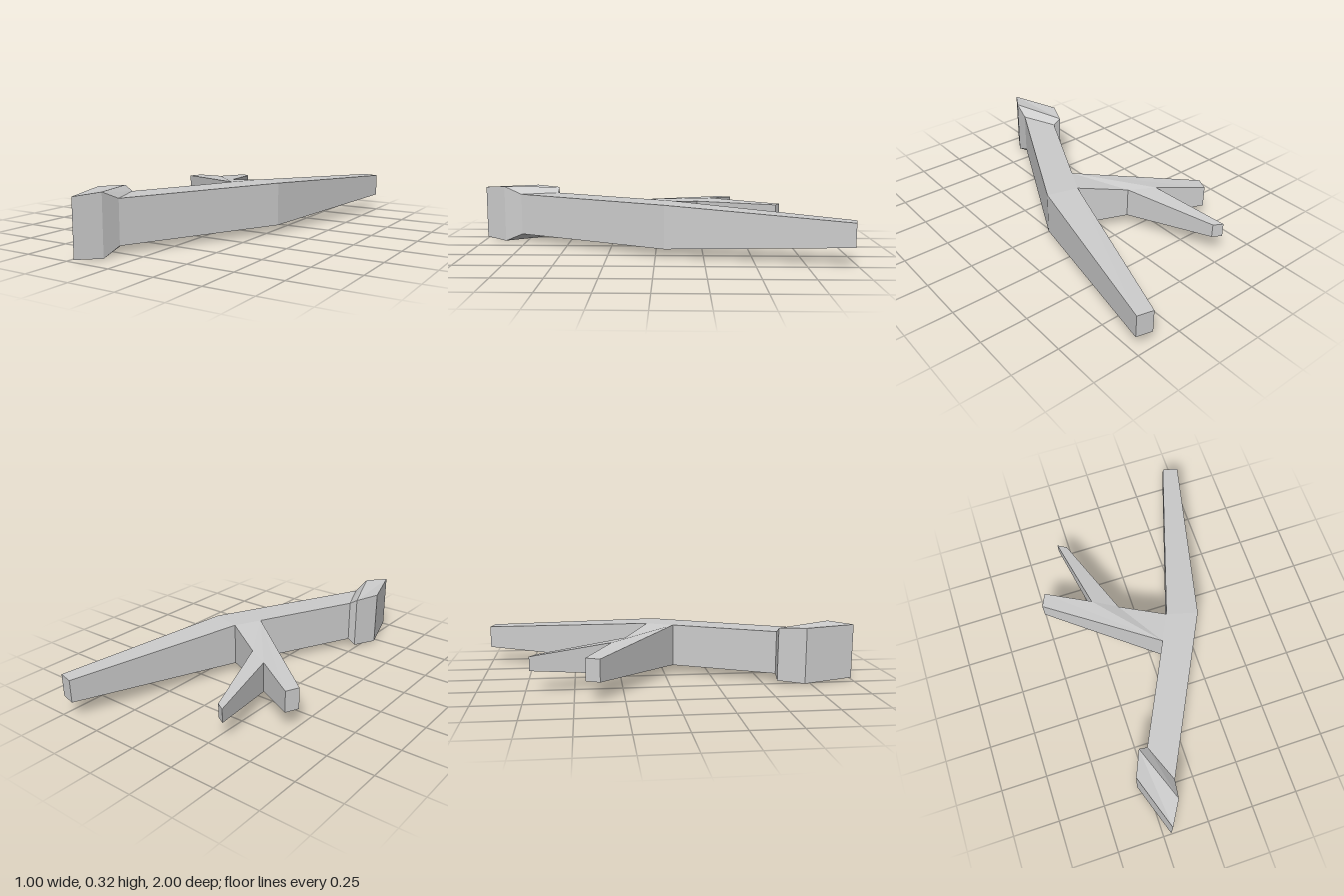
import * as THREE from 'three';

const MID_Y = 0.158;

// Plan corners: x, z and half height about the middle plane
const P = {
  shaftLeft: [-0.2, 0.575, 0.115], shaftRight: [-0.12, 0.775, 0.115],
  elbow: [0.295, -0.045, 0.115], crotch: [0.13, -0.09, 0.115], armpit: [0.06, 0.05, 0.115],
  tipRight: [0.502, -0.98, 0.061], tipLeft: [0.418, -1.0, 0.061],
  branchBend: [-0.103, -0.228, 0.081], fork: [-0.235, -0.305, 0.083],
  twigARight: [-0.27, -0.695, 0.037], twigALeft: [-0.318, -0.723, 0.037],
  twigBTop: [-0.47, -0.442, 0.058], twigBEnd: [-0.503, -0.372, 0.058],
  ridgeBack: [-0.245, 0.575, 0.143], ridgeFront: [-0.135, 0.875, 0.158],
  headLeft: [-0.303, 0.71, 0.149], headPoint: [-0.207, 0.997, 0.147],
};

// Each part is a slab whose outline runs anticlockwise from above
const PARTS = {
  shaft: ['shaftLeft', 'shaftRight', 'elbow', 'crotch', 'armpit'],
  longArm: ['crotch', 'elbow', 'tipRight', 'tipLeft'],
  branch: ['armpit', 'crotch', 'branchBend', 'fork'],
  thinTwig: ['fork', 'branchBend', 'twigARight', 'twigALeft'],
  thickTwig: ['armpit', 'fork', 'twigBTop', 'twigBEnd'],
  headBevel: ['shaftLeft', 'ridgeBack', 'ridgeFront', 'shaftRight'],
  head: ['ridgeBack', 'headLeft', 'headPoint', 'ridgeFront'],
};

const eachEdge = (outline, fn) =>
  outline.forEach((a, i) => fn(a, outline[(i + 1) % outline.length]));

// Top, bottom and outer walls; edges shared with a neighbour stay open
function slab(outline, edges) {
  const pos = [];
  const point = (name, side) => [P[name][0], MID_Y + side * P[name][2], P[name][1]];
  const tri = (a, b, c) => pos.push(...a, ...b, ...c);
  for (let i = 1; i < outline.length - 1; i++) {
    const [a, b, c] = [outline[0], outline[i], outline[i + 1]];
    tri(point(a, 1), point(b, 1), point(c, 1));
    tri(point(a, -1), point(c, -1), point(b, -1));
  }
  eachEdge(outline, (a, b) => {
    if (edges.has(b + '>' + a)) return;
    tri(point(a, -1), point(b, -1), point(b, 1));
    tri(point(a, -1), point(b, 1), point(a, 1));
  });
  const geometry = new THREE.BufferGeometry();
  geometry.setAttribute('position', new THREE.Float32BufferAttribute(pos, 3));
  geometry.computeVertexNormals();
  return geometry;
}

export function createModel() {
  const group = new THREE.Group();
  group.name = 'forkedBranch';
  const grey = new THREE.MeshStandardMaterial({ color: 0xcccccc });
  grey.name = 'plain grey';

  const edges = new Set();
  for (const outline of Object.values(PARTS)) eachEdge(outline, (a, b) => edges.add(a + '>' + b));

  for (const [name, outline] of Object.entries(PARTS)) {
    const mesh = new THREE.Mesh(slab(outline, edges), grey);
    mesh.name = name;
    group.add(mesh);
  }
  return group;
}
